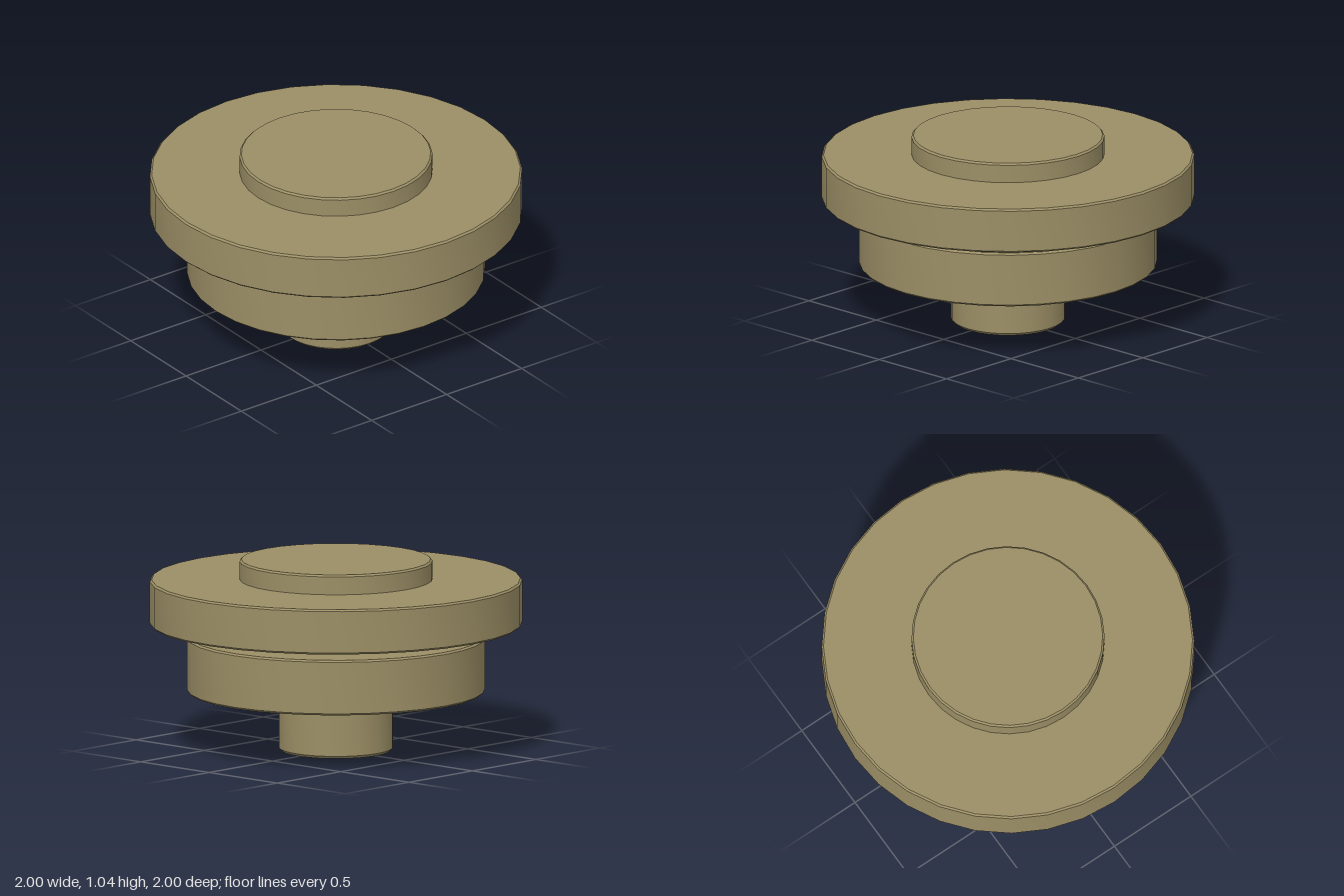
import * as THREE from 'three';
import { toCreasedNormals } from 'three/addons/utils/BufferGeometryUtils.js';

const SIDES = 32;

// Solid round disc from y0 to y1 with small chamfers at the bottom and top rims
function disc(name, radius, y0, y1, bottomBevel, topBevel, material) {
  const profile = [[0, y0], [radius - bottomBevel, y0]];
  if (bottomBevel) profile.push([radius, y0 + bottomBevel]);
  if (topBevel) profile.push([radius, y1 - topBevel]);
  profile.push([radius - topBevel, y1], [0, y1]);
  const lathe = new THREE.LatheGeometry(profile.map(([r, y]) => new THREE.Vector2(r, y)), SIDES);
  const mesh = new THREE.Mesh(toCreasedNormals(lathe, Math.PI / 6), material);
  mesh.name = name;
  return mesh;
}

export function createModel() {
  const group = new THREE.Group();
  group.name = 'steppedWheel';
  const brass = new THREE.MeshStandardMaterial({ color: 0x9c8f66 });

  group.add(
    disc('shaft', 0.307, 0, 0.32, 0.015, 0, brass),
    disc('lowerWheel', 0.8, 0.32, 0.62, 0.01, 0.01, brass),
    disc('neck', 0.52, 0.62, 0.685, 0, 0, brass),
    disc('upperWheel', 1, 0.685, 0.93, 0.01, 0.01, brass),
    disc('topCap', 0.518, 0.93, 1.037, 0, 0.01, brass),
  );
  return group;
}
